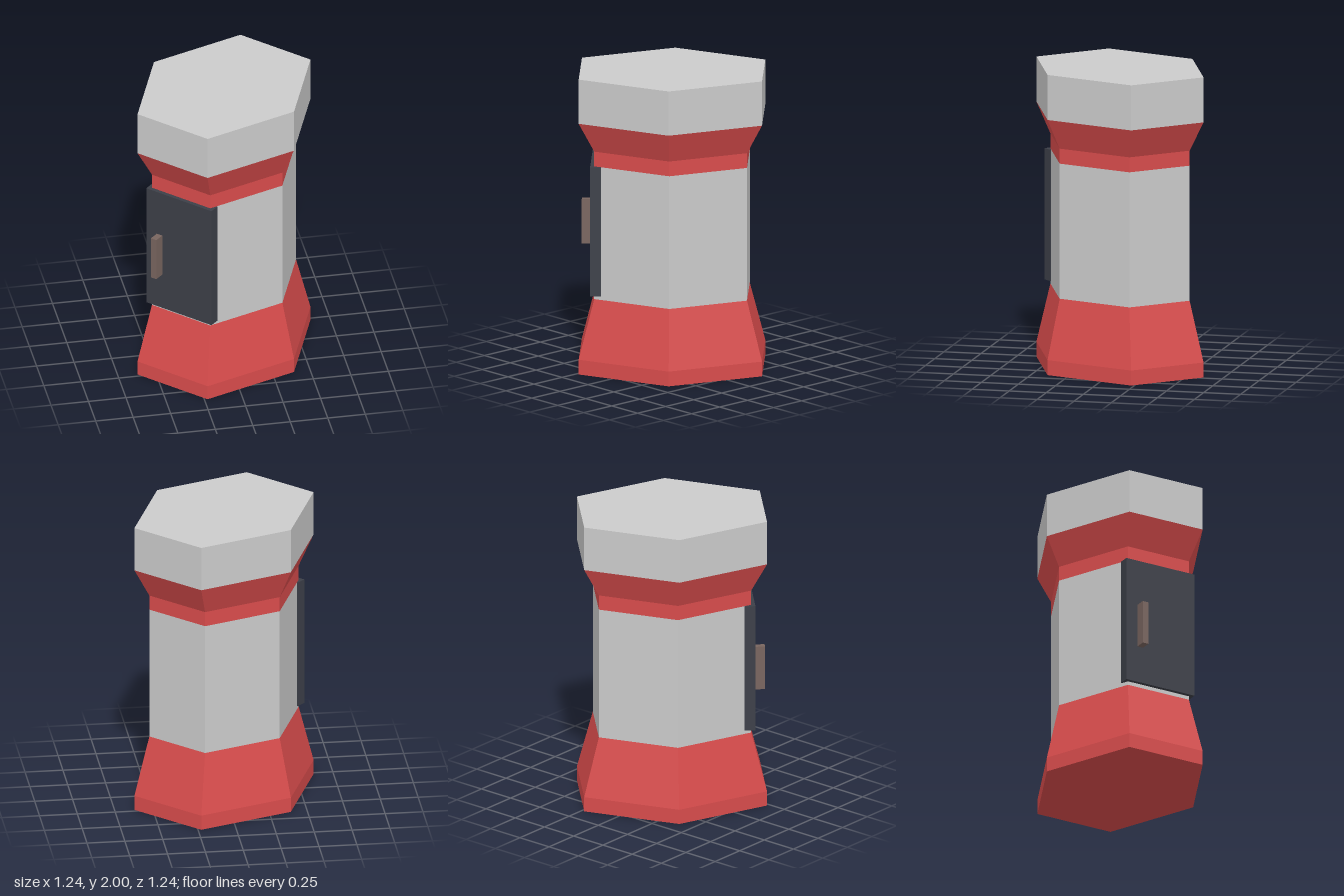
import * as THREE from 'three';

const WIDE = 1, NARROW = 0.833;

function material(color) {
  return new THREE.MeshStandardMaterial({ color, flatShading: true });
}

export function createModel() {
  const model = new THREE.Group();
  model.name = 'hexagonalContainer';

  // The whole body is a stretched hexagon, turned by an eighth of a turn
  const body = new THREE.Group();
  body.name = 'body';
  body.rotation.y = Math.PI / 4;
  model.add(body);

  const grey = material(0xcccccc);
  const red = material(0xd94c4c);
  const doorPaint = material(0x3c3f48);
  const handlePaint = material(0x79655f);

  // Six-sided section from a list of [radius, height], bottom to top
  function section(name, profile, mat) {
    const points = profile.map(([r, y]) => new THREE.Vector2(r, y));
    const geometry = new THREE.LatheGeometry(points, 6).scale(0.694, 1, 0.554);
    const mesh = new THREE.Mesh(geometry, mat);
    mesh.name = name;
    body.add(mesh);
  }

  section('base', [[0, 0], [WIDE, 0], [WIDE, 0.1], [NARROW, 0.5]], red);
  section('column', [[NARROW, 0.5], [NARROW, 1.4]], grey);
  section('collar', [[NARROW, 1.4], [NARROW, 1.5], [WIDE, 1.7]], red);
  section('cap', [[WIDE, 1.7], [WIDE, 2], [0, 2]], grey);

  // Box on the door side, given by its extents
  function panel(name, [x0, x1], [y0, y1], [z0, z1], mat) {
    const mesh = new THREE.Mesh(new THREE.BoxGeometry(x1 - x0, y1 - y0, z1 - z0), mat);
    mesh.position.set((x0 + x1) / 2, (y0 + y1) / 2, (z0 + z1) / 2);
    mesh.name = name;
    body.add(mesh);
  }

  panel('door', [-0.527, -0.455], [0.525, 1.4], [-0.258, 0.258], doorPaint);
  panel('doorHandle', [-0.597, -0.51], [0.78, 1.08], [-0.174, -0.131], handlePaint);

  return model;
}
